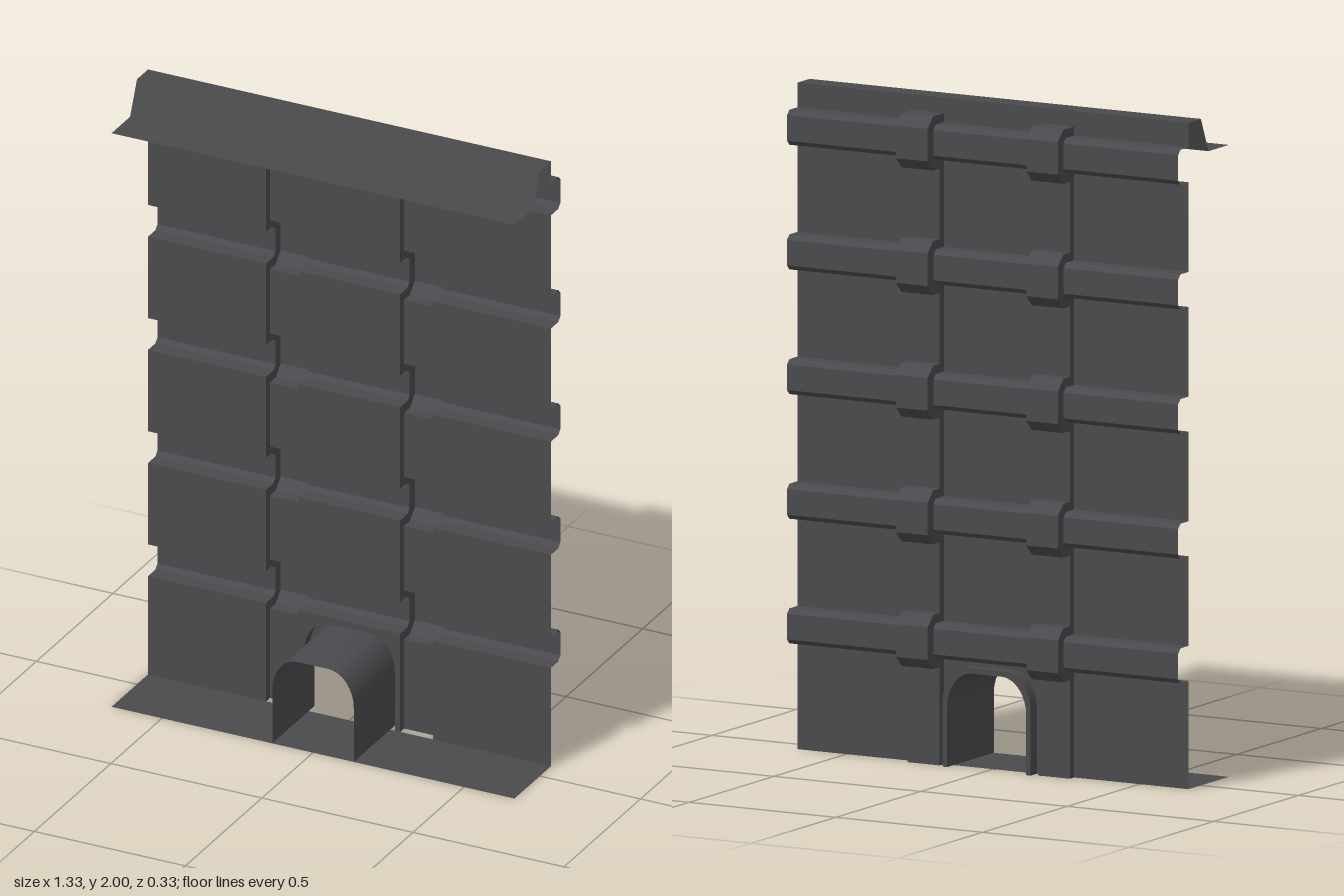
import * as THREE from 'three';
import { toCreasedNormals } from 'three/addons/utils/BufferGeometryUtils.js';

const HALF_WIDTH = 0.667, PANEL_Z = -0.072, STRIP_Z = -0.097, FRONT_Z = 0.166;
const STRIP_IN = 0.168, STRIP_OUT = 0.276;
const RIBS = 5, RIB_STEP = 0.374;

const steel = new THREE.MeshStandardMaterial({ color: 0x4a494d, side: THREE.DoubleSide });
steel.name = 'dark grey steel';

// Open surface spanned between rows of [x, y, z] points
function loft(rows) {
  const n = rows[0].length, index = [];
  for (let r = 0; r < rows.length - 1; r++) {
    for (let i = 0; i < n - 1; i++) {
      const a = r * n + i, b = a + n;
      index.push(a, b, a + 1, b, b + 1, a + 1);
    }
  }
  const g = new THREE.BufferGeometry();
  g.setAttribute('position', new THREE.Float32BufferAttribute(rows.flat(2), 3));
  g.setIndex(index);
  return toCreasedNormals(g, 0.6);
}

// Place a [y, z] profile at x
const at = (profile, x) => profile.map(([y, z]) => [x, y, z]);
const ribbon = (profile, x0, x1) => loft([at(profile, x0), at(profile, x1)]);

// Side profile of a sheet with horizontal ribs pressed out to the back
function ribbedProfile(z, low, high, shelfZ, backZ, bevel) {
  const pts = [[0, z]];
  for (let i = 0; i < RIBS; i++) {
    const o = i * RIB_STEP;
    pts.push([low + o, z], [low + o, shelfZ], [low + bevel + o, backZ],
      [high - bevel + o, backZ], [high + o, shelfZ], [high + o, z]);
  }
  return pts;
}

// Arch outline from the right foot over the crown to the left foot
function archPoints(halfWidth, top) {
  const rx = 0.085, ry = 0.11, cx = halfWidth - rx, cy = top - ry;
  const right = [[halfWidth, 0]];
  for (let i = 0; i <= 8; i++) {
    const a = (i / 8) * Math.PI / 2;
    right.push([cx + rx * Math.cos(a), cy + ry * Math.sin(a)]);
  }
  return [...right, ...right.map(([x, y]) => [-x, y]).reverse()];
}

export function createModel() {
  const model = new THREE.Group();
  model.name = 'ribbedWallPanel';
  const add = (name, geometry) => {
    const mesh = new THREE.Mesh(geometry, steel);
    mesh.name = name;
    model.add(mesh);
  };

  const sheet = ribbedProfile(PANEL_Z, 0.325, 0.43, -0.12, -0.134, 0.014);
  const strip = ribbedProfile(STRIP_Z, 0.295, 0.457, -0.135, -0.167, 0.032);
  strip[strip.length - 1][1] = PANEL_Z;

  // Side panels, raised vertical strips and the walls that join them
  for (const [side, s] of [['left', 1], ['right', -1]]) {
    add(side + 'Panel', ribbon(sheet, s * STRIP_OUT, s * HALF_WIDTH));
    add(side + 'Strip', ribbon(strip, s * STRIP_IN, s * STRIP_OUT));
    for (const x of [STRIP_IN, STRIP_OUT]) {
      add(side + (x === STRIP_IN ? 'StripInnerWall' : 'StripOuterWall'),
        loft([at(sheet, s * x), at(strip, s * x)]));
    }
  }

  // Centre panel, with the doorway cut out of its lowest field
  add('centrePanel', ribbon(sheet.slice(1), -STRIP_IN, STRIP_IN));
  const inner = archPoints(0.135, 0.288), outer = archPoints(0.15, 0.304);
  const field = new THREE.Shape([
    [-STRIP_IN, 0.325], [-STRIP_IN, 0], ...[...outer].reverse(),
    [STRIP_IN, 0], [STRIP_IN, 0.325],
  ].map(([x, y]) => new THREE.Vector2(x, y)));
  add('doorwayField', new THREE.ShapeGeometry(field).translate(0, 0, PANEL_Z));

  // Rim standing out at the back, running into the tunnel to the front
  const archAt = (arch, z) => arch.map(([x, y]) => [x, y, z]);
  add('archTunnel', loft([
    archAt(outer, PANEL_Z), archAt(outer, -0.11),
    archAt(inner, -0.11), archAt(inner, FRONT_Z),
  ]));

  // Folded flashing along the top and flat flange along the ground
  add('topFlashing', ribbon([
    [1.926, PANEL_Z], [2, PANEL_Z], [2, 0], [1.896, 0.045], [1.896, FRONT_Z],
  ], -HALF_WIDTH, HALF_WIDTH));
  add('groundFlange', ribbon([[0, PANEL_Z], [0, FRONT_Z]], -HALF_WIDTH, HALF_WIDTH));

  return model;
}
